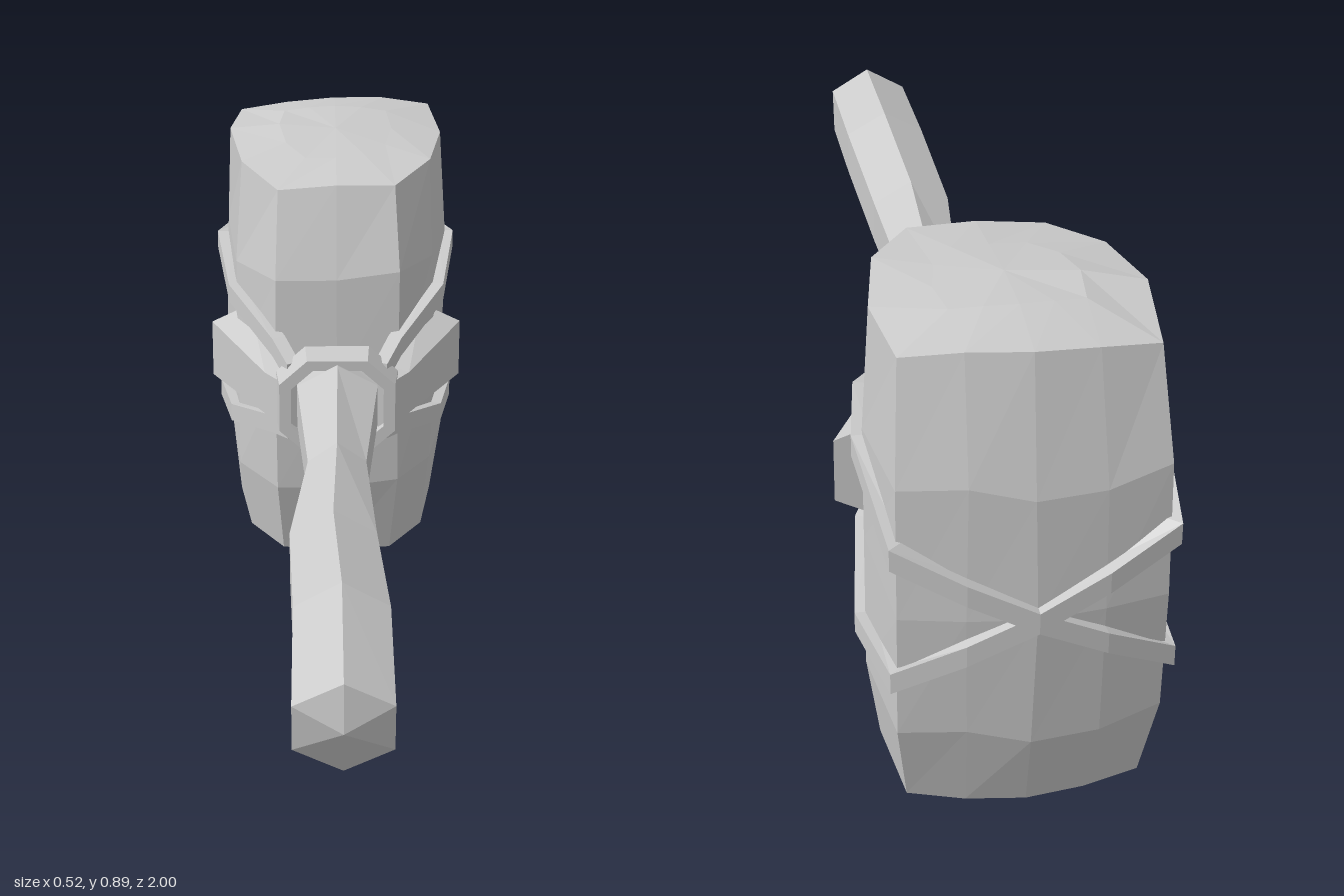
import * as THREE from 'three';

const material = new THREE.MeshStandardMaterial({ color: 0xcccccc, flatShading: true });

// Joins rings of [x, y, z] points into a solid; a ring of one repeated point makes a tip.
function loft(name, rings, { closed = false } = {}) {
  const n = rings[0].length, tri = [];
  const quad = (a, b, c, d) => tri.push([a, b, c], [a, c, d]);
  const spans = closed ? rings.length : rings.length - 1;
  for (let r = 0; r < spans; r++) {
    const lo = rings[r], hi = rings[(r + 1) % rings.length];
    for (let i = 0; i < n; i++) {
      const j = (i + 1) % n;
      quad(lo[i], lo[j], hi[j], hi[i]);
    }
  }
  if (!closed) {
    const a = rings[0], b = rings[rings.length - 1];
    for (let i = 1; i < n - 1; i++) {
      tri.push([a[0], a[i + 1], a[i]], [b[0], b[i], b[i + 1]]);
    }
  }
  // Turn the faces outward whichever way the rings run.
  let volume = 0;
  for (const [a, b, c] of tri) {
    volume += new THREE.Vector3(...a).dot(new THREE.Vector3(...b).cross(new THREE.Vector3(...c)));
  }
  const faces = volume < 0 ? tri.map(([a, b, c]) => [a, c, b]) : tri;
  const geometry = new THREE.BufferGeometry();
  geometry.setAttribute('position', new THREE.Float32BufferAttribute(faces.flat(2), 3));
  geometry.computeVertexNormals();
  const mesh = new THREE.Mesh(geometry, material);
  mesh.name = name;
  return mesh;
}

// Rough-hewn block: a barrel-shaped outline stacked in levels, with domed ends.
function makeHead() {
  const half = [[0.125, -0.34], [0.205, -0.5], [0.235, -0.72], [0.215, -0.95], [0.11, -0.972]];
  const outline = [[0, -0.335], ...half, [0, -0.985],
    ...half.map(([x, z]) => [-x, z]).reverse()];
  const zMid = -0.665;
  const topY = (x, z) => 0.885 - 0.4 * (z + 0.76) ** 2 - 0.4 * x * x + 0.006 * Math.sin(9 * x + 14 * z);
  const bottomY = (x, z) => 0.003 + 0.4 * (z + 0.65) ** 2 + 0.5 * x * x;
  const ring = (sx, sz, height, wobble = 0) => outline.map(([x, z], i) => {
    const px = x * sx + wobble * Math.sin(i * 2.3);
    const pz = zMid + (z - zMid) * sz;
    return [px, typeof height === 'function' ? height(px, pz) : height + wobble * 4 * Math.sin(i * 1.7), pz];
  });
  return loft('head', [
    ring(0, 0, bottomY), ring(0.5, 0.45, bottomY), ring(0.9, 0.81, bottomY),
    ring(0.99, 0.955, 0.2, 0.004), ring(1, 1, 0.44), ring(0.99, 0.955, 0.66, 0.004),
    ring(0.94, 0.77, topY), ring(0.5, 0.4, topY), ring(0, 0, topY),
  ]);
}

// Six-sided, slightly crooked handle. Sections: z, x centre, y centre, x radius, y radius, slant.
function makeHandle() {
  const sections = [
    [0.968, 0, 0.432, 0.092, 0.088, 0.2],
    [0.7, 0, 0.45, 0.092, 0.09, 0],
    [0.4, -0.012, 0.432, 0.088, 0.088, 0],
    [0.1, -0.003, 0.433, 0.063, 0.078, 0],
    [-0.2, 0, 0.453, 0.092, 0.085, 0],
    [-0.285, 0, 0.448, 0.09, 0.08, 0],
  ];
  const rings = sections.map(([z, cx, cy, rx, ry, slant]) =>
    Array.from({ length: 6 }, (_, i) => {
      const a = Math.PI / 2 + i * Math.PI / 3, dy = ry * Math.sin(a);
      return [cx + rx * Math.cos(a), cy + dy, z + slant * dy];
    }));
  const tip = Array.from({ length: 6 }, () => [0, 0.44, 1]);
  return loft('handle', [tip, ...rings]);
}

// One prong of the fork, flaring toward the side of the head.
function makeProng(side) {
  // Sections: inner x and z, inner half height, outer x and z, outer half height.
  const sections = [
    [0.04, -0.24, 0.055, 0.1, -0.22, 0.045],
    [0.075, -0.31, 0.06, 0.145, -0.285, 0.045],
    [0.18, -0.535, 0.095, 0.26, -0.525, 0.06],
  ];
  const y = 0.443;
  const rings = sections.map(([xi, zi, hi, xo, zo, ho]) => [
    [side * xi, y - hi, zi], [side * xo, y - ho, zo],
    [side * xo, y + ho, zo], [side * xi, y + hi, zi],
  ]);
  return loft(side > 0 ? 'leftProng' : 'rightProng', rings);
}

// A lashing from the collar, over one side, across the back and down the other side.
function makeStrap(side) {
  // Path points with the outward direction at each.
  const path = [
    [0.085, 0.505, -0.25, 0.8, 0.5],
    [0.115, 0.528, -0.33, 0.85, 0.5],
    [0.205, 0.578, -0.5, 0.95, 0.3],
    [0.235, 0.616, -0.72, 1, 0],
    [0.214, 0.56, -0.95, 0.75, -0.65],
    [0.11, 0.5, -0.972, 0.1, -1],
    [0, 0.443, -0.982, 0, -1],
  ];
  const other = path.slice(0, -1).reverse()
    .map(([x, y, z, nx, nz]) => [-x, 0.886 - y, z, -nx, nz]);
  const w = 0.019, inset = 0.012, t = 0.018;
  const rings = [...path, ...other].map(([x, y, z, nx, nz]) =>
    [[-inset, -w], [t, -w], [t, w], [-inset, w]].map(([out, up]) =>
      [side * (x + nx * out), y + up, z + nz * out]));
  return loft(side > 0 ? 'leftStrap' : 'rightStrap', rings);
}

// Eight-sided binding around the end of the handle.
function makeCollar() {
  const quarter = [[0.115, 0.05], [0.06, 0.1]];
  const corners = [...quarter, ...quarter.map(([x, y]) => [-x, y]).reverse()];
  const outline = [...corners, ...corners.map(([x, y]) => [-x, -y])];
  const rings = outline.map(([x, y]) =>
    [[1, -0.205], [1.06, -0.27], [0.84, -0.285], [0.8, -0.205]].map(([s, z]) =>
      [x * s, 0.445 + y * s, z]));
  return loft('collar', rings, { closed: true });
}

export function createModel() {
  const model = new THREE.Group();
  model.name = 'mallet';
  model.add(makeHead(), makeHandle(), makeCollar());
  for (const side of [1, -1]) model.add(makeProng(side), makeStrap(side));
  return model;
}
